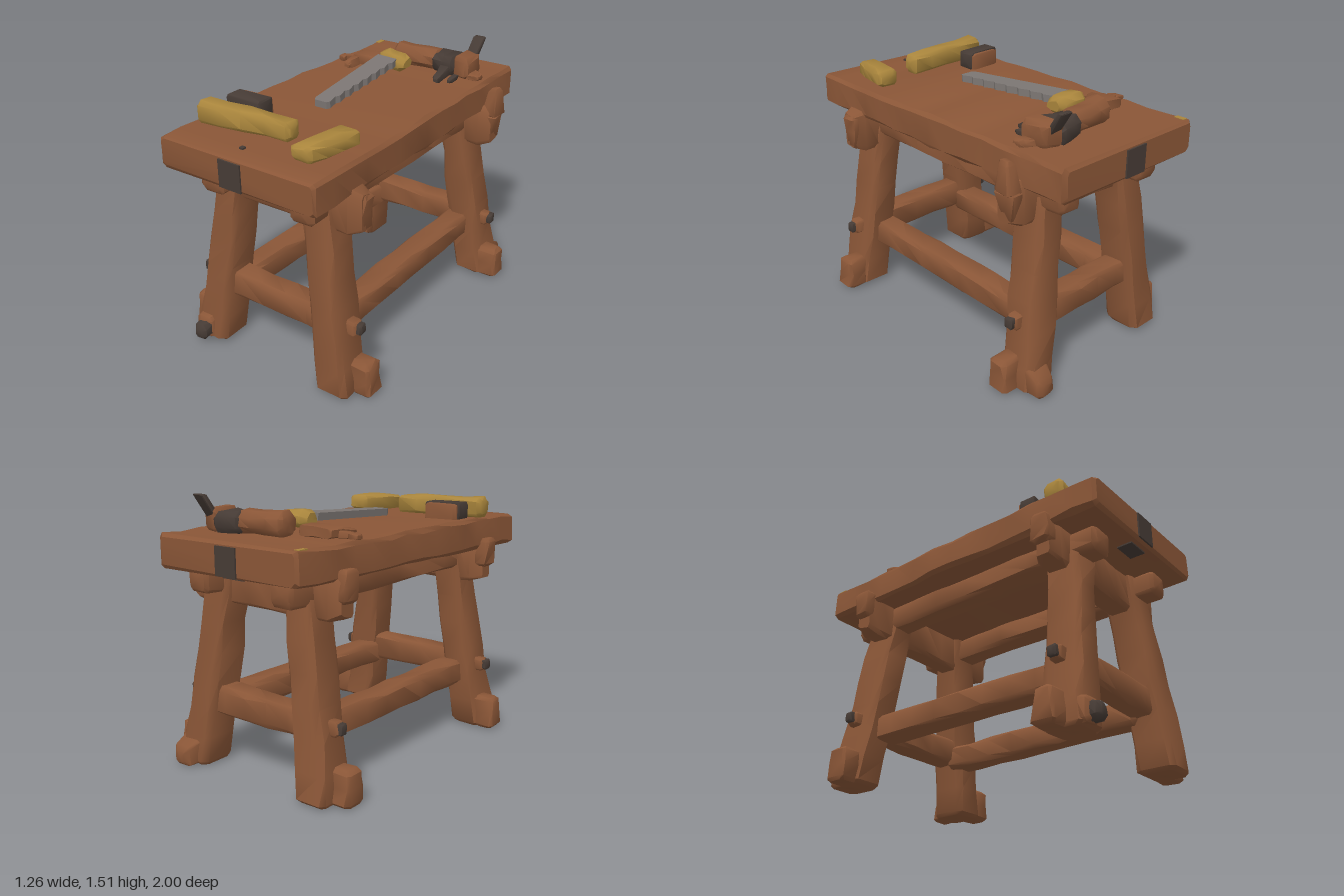
import * as THREE from 'three';
import { toCreasedNormals } from 'three/addons/utils/BufferGeometryUtils.js';

const material = (name, color) => {
  const m = new THREE.MeshStandardMaterial({ color });
  m.name = name;
  return m;
};

export function createModel() {
  const wood = material('brown wood', 0x8a5637);
  const iron = material('dark iron', 0x463b35);
  const pale = material('pale timber', 0xa9853c);
  const steel = material('grey steel', 0x7c7673);

  const model = new THREE.Group();
  model.name = 'workbench';

  let seed = 7;
  const rnd = () => {
    seed = (seed * 16807) % 2147483647;
    return (seed / 2147483647) * 2 - 1;
  };

  const add = (name, mat, geo) => {
    const mesh = new THREE.Mesh(geo, mat);
    mesh.name = name;
    model.add(mesh);
    return mesh;
  };

  // Rough hewn beam: chamfered section lofted from a to b along one main axis
  // (0 = x, 1 = y, 2 = z). Sizes are [x, y, z]; the entry on the axis is ignored.
  function beam(name, mat, axis, a, b, sizeA, sizeB = sizeA, { segs = 4, wobble = 0.007, chamfer = 0.28, bevel = 0.02, crease = 0.88 } = {}) {
    const u = (axis + 1) % 3, v = (axis + 2) % 3;
    const len = b[axis] - a[axis], e = Math.min(bevel / len, 0.2);
    const ts = [0, e];
    for (let i = 1; i < segs; i++) ts.push(i / segs);
    ts.push(1 - e, 1);
    const pos = [], idx = [];
    ts.forEach((t, i) => {
      const end = i === 0 || i === ts.length - 1;
      const mix = (p, q, k) => p[k] + (q[k] - p[k]) * t;
      const hu = mix(sizeA, sizeB, u) / 2, hv = mix(sizeA, sizeB, v) / 2;
      const c = Math.min(hu, hv) * chamfer, inset = end ? Math.min(bevel, Math.min(hu, hv) * 0.4) : 0;
      const section = [
        [hu, c - hv], [hu, hv - c], [hu - c, hv], [c - hu, hv],
        [-hu, hv - c], [-hu, c - hv], [c - hu, -hv], [hu - c, -hv]];
      for (const [pu, pv] of section) {
        const p = [];
        p[axis] = mix(a, b, axis);
        p[u] = mix(a, b, u) + pu * (1 - inset / hu) + rnd() * wobble;
        p[v] = mix(a, b, v) + pv * (1 - inset / hv) + rnd() * wobble;
        pos.push(...p);
      }
    });
    for (let i = 0; i < ts.length - 1; i++) for (let j = 0; j < 8; j++) {
      const p = i * 8 + j, q = i * 8 + (j + 1) % 8;
      idx.push(p, q, q + 8, p, q + 8, p + 8);
    }
    const last = (ts.length - 1) * 8, ca = pos.length / 3;
    pos.push(...a, ...b);
    for (let j = 0; j < 8; j++) {
      const k = (j + 1) % 8;
      idx.push(ca, k, j, ca + 1, last + j, last + k);
    }
    const geo = new THREE.BufferGeometry();
    geo.setAttribute('position', new THREE.Float32BufferAttribute(pos, 3));
    geo.setIndex(idx);
    return add(name, mat, toCreasedNormals(geo, crease));
  }

  const plate = (name, mat, size, at) => {
    const m = add(name, mat, new THREE.BoxGeometry(...size));
    m.position.set(...at);
  };

  // Table top
  beam('tableTop', wood, 2, [-0.02, 1.22, -0.988], [-0.025, 1.22, 0.988],
    [0.97, 0.18, 0], [1.0, 0.18, 0], { segs: 14, wobble: 0.008, bevel: 0.016, chamfer: 0.22, crease: 0.5 });

  for (const s of [-1, 1]) {
    // Long rails under the top
    beam('longRail', wood, 2, [s * 0.295, 1.07, -0.885], [s * 0.295, 1.07, 0.88], [0.15, 0.14, 0], undefined, { segs: 8 });
    // Low stretchers along the sides
    beam('sideStretcher', wood, 2, [s * 0.335, 0.345, -0.68], [s * 0.335, 0.345, 0.68], [0.15, 0.145, 0], undefined, { segs: 8 });
    // Cross beams, low cross stretchers and iron end plates
    beam('crossBeam', wood, 0, [-0.53, 1.05, s * 0.66], [0.53, 1.05, s * 0.66], [0, 0.25, 0.14], undefined, { segs: 7, bevel: 0.07 });
    beam('crossStretcher', wood, 0, [-0.38, 0.385, s * 0.71], [0.38, 0.385, s * 0.71], [0, 0.155, 0.14], undefined, { segs: 5 });
    plate('endPlate', iron, [0.14, 0.15, 0.009], [-0.04, 1.215, s * 0.9935]);
    plate('underPlate', iron, [0.14, 0.009, 0.09], [-0.04, 1.125, s * 0.9]);

    for (const f of [-1, 1]) {
      // Splayed legs
      beam('leg', wood, 1, [s * 0.435, 0, f * 0.745], [s * 0.27, 1.15, f * 0.66],
        [0.205, 0, 0.225], [0.17, 0, 0.2], { segs: 7, wobble: 0.008 });
      // Outer foot blocks
      beam('footBlock', wood, 1, [s * 0.56, 0, f * 0.705], [s * 0.545, 0.195, f * 0.7], [0.13, 0, 0.14], [0.14, 0, 0.11], { segs: 2 });
      // Pegs through the legs, set in wooden bosses
      const along = (p, q) => [p, q].map(x => s * x).sort((m, n) => m - n);
      const [b0, b1] = along(0.38, 0.53), [p0, p1] = along(0.4, 0.55);
      beam('pegBoss', wood, 0, [b0, 0.39, f * 0.71], [b1, 0.39, f * 0.71], [0, 0.08, 0.07], undefined, { segs: 1, wobble: 0.004 });
      beam('legPeg', iron, 0, [p0, 0.392, f * 0.71], [p1, 0.392, f * 0.71], [0, 0.06, 0.052], undefined, { segs: 1, wobble: 0.003, bevel: 0.008 });
    }
  }

  // Foot peg with its collar at the front, foot wedge at the back
  beam('footPegCollar', wood, 2, [-0.455, 0.085, 0.8], [-0.455, 0.08, 0.88], [0.13, 0.15, 0], [0.11, 0.13, 0], { segs: 1 });
  beam('footPeg', iron, 2, [-0.45, 0.08, 0.82], [-0.45, 0.065, 0.928], [0.095, 0.12, 0], [0.08, 0.09, 0], { segs: 1, chamfer: 0.5 });
  beam('backFootWedge', wood, 2, [0.46, 0.05, -0.92], [0.45, 0.085, -0.8], [0.11, 0.1, 0], [0.16, 0.17, 0], { segs: 1 });

  // Wedges driven in at the cross beam ends
  beam('backWedgeLower', wood, 1, [0.49, 0.95, -0.675], [0.51, 1.13, -0.67], [0.07, 0, 0.08], [0.1, 0, 0.12], { segs: 1 });
  beam('backWedgeUpper', wood, 1, [0.51, 1.1, -0.67], [0.525, 1.28, -0.665], [0.1, 0, 0.12], [0.05, 0, 0.07], { segs: 1 });
  beam('frontWedge', wood, 1, [0.49, 0.94, 0.655], [0.505, 1.145, 0.65], [0.08, 0, 0.09], undefined, { segs: 2 });
  for (const f of [-1, 1])
    beam('rightWedge', wood, 1, [-0.515, 1.02, f * 0.66], [-0.535, 1.19, f * 0.66], [0.09, 0, 0.11], [0.06, 0, 0.1], { segs: 2 });

  // Offcuts lying at the front
  beam('longOffcut', pale, 0, [-0.485, 1.365, 0.7], [0.085, 1.36, 0.645], [0, 0.12, 0.125], [0, 0.11, 0.105], { wobble: 0.006, chamfer: 0.35 });
  beam('shortOffcut', pale, 2, [0.335, 1.355, 0.51], [0.26, 1.35, 0.83], [0.13, 0.1, 0], [0.125, 0.09, 0], { segs: 3, chamfer: 0.4 });

  // Sanding block with a wooden back
  beam('sandingBlock', iron, 0, [-0.455, 1.355, 0.51], [-0.23, 1.355, 0.495], [0, 0.1, 0.105], undefined, { segs: 1, wobble: 0.003, chamfer: 0.15, bevel: 0.008 });
  beam('sandingBlockBack', wood, 0, [-0.445, 1.35, 0.46], [-0.24, 1.35, 0.445], [0, 0.1, 0.04], undefined, { segs: 1, wobble: 0.002 });

  // Hand saw: toothed blade and pale grip
  const outline = [[-0.165, -0.45], [-0.03, -0.45]];
  for (let i = 0; i < 7; i++) {
    const z = -0.38 + i * 0.09, x = -0.015 + i * 0.003;
    outline.push([x, z], [x - 0.014, z + 0.025]);
  }
  outline.push([0.003, 0.25], [-0.008, 0.27], [-0.085, 0.27], [-0.1, 0.24]);
  const bladeGeo = new THREE.ExtrudeGeometry(new THREE.Shape(outline.map(p => new THREE.Vector2(...p))), { depth: 0.04, bevelEnabled: false });
  const blade = add('sawBlade', steel, bladeGeo.rotateX(Math.PI / 2));
  blade.position.y = 1.385;
  blade.rotation.x = 0.06;
  beam('sawGrip', pale, 0, [-0.168, 1.382, -0.5], [0.022, 1.38, -0.49], [0, 0.1, 0.12], [0, 0.09, 0.12], { segs: 2, chamfer: 0.6, bevel: 0.035 });

  // Small wooden hammer
  beam('hammerHead', wood, 0, [-0.385, 1.335, -0.55], [-0.165, 1.34, -0.545], [0, 0.06, 0.125], [0, 0.07, 0.125], { segs: 2 });
  beam('hammerClaw', wood, 2, [-0.35, 1.33, -0.53], [-0.355, 1.32, -0.39], [0.06, 0.05, 0], [0.045, 0.035, 0], { segs: 1 });
  beam('hammerNeck', wood, 0, [-0.45, 1.325, -0.505], [-0.37, 1.33, -0.535], [0, 0.03, 0.035], [0, 0.04, 0.05], { segs: 1, wobble: 0.003 });
  beam('hammerTip', wood, 0, [-0.49, 1.32, -0.515], [-0.43, 1.325, -0.5], [0, 0.03, 0.05], [0, 0.035, 0.08], { segs: 1, wobble: 0.003 });

  // Hand plane: round grip, iron collar, wooden nose and raised iron
  beam('planeGrip', wood, 0, [-0.16, 1.375, -0.665], [0.14, 1.37, -0.69], [0, 0.13, 0.13], [0, 0.12, 0.13], { segs: 3, chamfer: 0.58 });
  beam('planeCollar', iron, 0, [0.1, 1.365, -0.69], [0.265, 1.365, -0.7], [0, 0.12, 0.15], [0, 0.11, 0.2], { segs: 2, chamfer: 0.5 });
  beam('planeNose', wood, 0, [0.25, 1.37, -0.7], [0.365, 1.37, -0.675], [0, 0.13, 0.17], undefined, { segs: 1 });
  beam('planeIron', iron, 1, [0.295, 1.34, -0.72], [0.31, 1.51, -0.835], [0.065, 0, 0.045], [0.07, 0, 0.035], { segs: 1, wobble: 0.002, bevel: 0.005 });
  beam('planeProng', iron, 2, [0.2, 1.34, -0.64], [0.23, 1.325, -0.46], [0.08, 0.06, 0], [0.04, 0.03, 0], { segs: 2, wobble: 0.004 });
  beam('planeSpur', iron, 2, [0.295, 1.325, -0.6], [0.295, 1.32, -0.5], [0.03, 0.03, 0], undefined, { segs: 1, wobble: 0.002 });
  beam('planeBar', wood, 0, [0.34, 1.33, -0.66], [0.43, 1.33, -0.64], [0, 0.04, 0.1], [0, 0.03, 0.06], { segs: 1 });

  // Nail head and worn corner on the top
  plate('nailHead', iron, [0.025, 0.009, 0.025], [-0.06, 1.314, 0.87]);
  plate('wornCorner', pale, [0.03, 0.009, 0.06], [-0.475, 1.309, -0.93]);

  return model;
}
